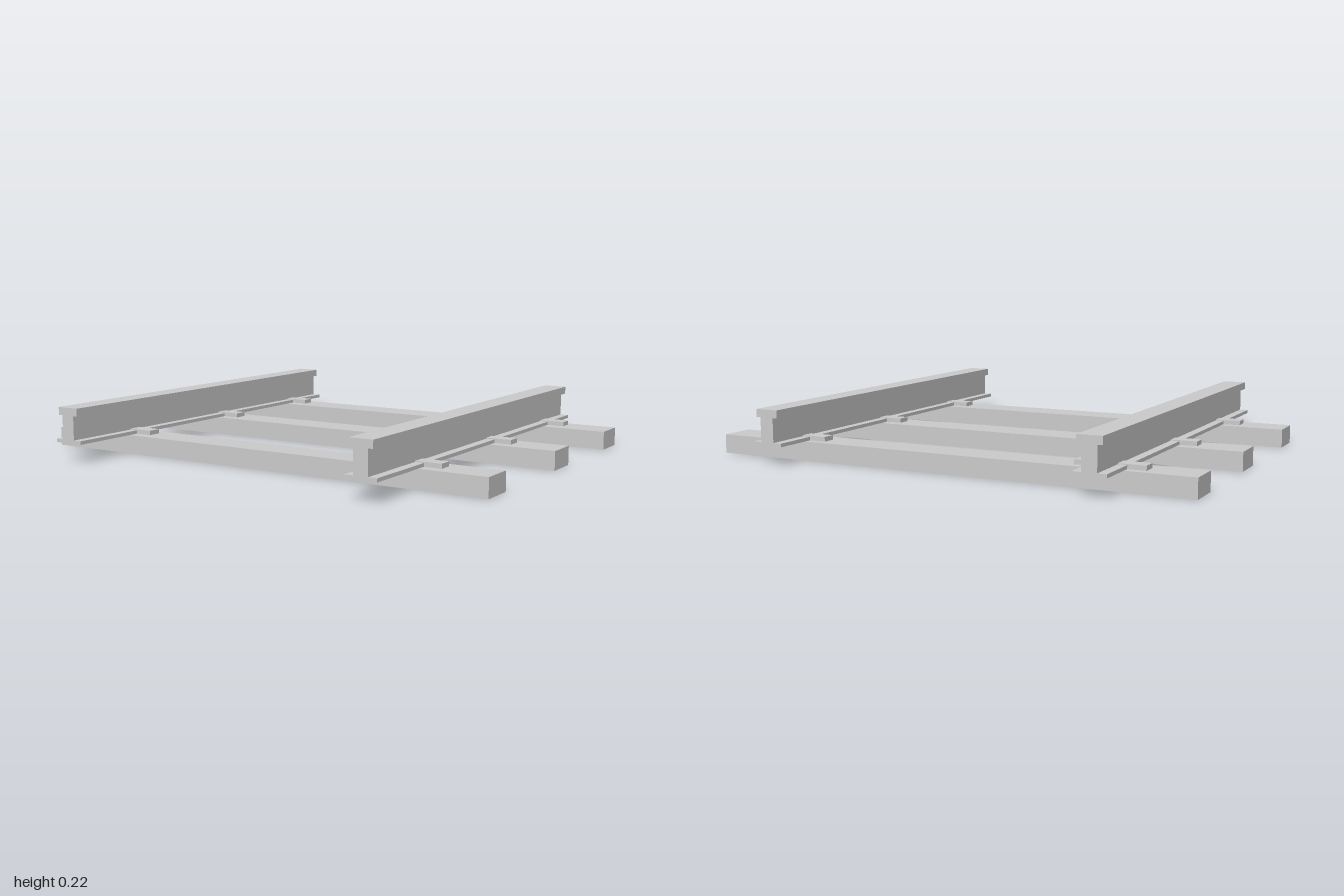
import * as THREE from 'three';

const RAIL_LENGTH = 1.7;
const BED = 0.076; // top of the sleepers, where the rails rest
const railX = { leftRail: 0.666, rightRail: -0.672 };
const sleeperZ = [-0.63, -0.09, 0.5];
const clipZ = [-0.64, -0.09, 0.498];

const steel = new THREE.MeshStandardMaterial({ color: 0xcccccc, flatShading: true });
const shell = new THREE.MeshStandardMaterial({ color: 0xcccccc, flatShading: true, side: THREE.DoubleSide });

function addMesh(parent, name, geometry, material, x, y, z) {
  const mesh = new THREE.Mesh(geometry, material);
  mesh.name = name;
  mesh.position.set(x, y, z);
  parent.add(mesh);
}

// I-shaped rail section: wide foot, thin web, heavy head
function railGeometry() {
  const half = [
    [0.064, BED], [0.064, 0.09], [0.029, 0.09],
    [0.029, 0.186], [0.048, 0.186], [0.048, 0.217],
  ];
  const mirrored = half.map(([x, y]) => [-x, y]).reverse();
  const shape = new THREE.Shape([...half, ...mirrored].map(([x, y]) => new THREE.Vector2(x, y)));
  return new THREE.ExtrudeGeometry(shape, { depth: RAIL_LENGTH, bevelEnabled: false })
    .translate(0, 0, -RAIL_LENGTH / 2);
}

// Hollow sleeper: a box without its underside
function sleeperGeometry() {
  const box = new THREE.BoxGeometry(2, BED, 0.14);
  const bottom = box.groups[3];
  const index = Array.from(box.index.array);
  index.splice(bottom.start, bottom.count);
  box.setIndex(index);
  box.clearGroups();
  return box;
}

export function createModel() {
  const track = new THREE.Group();
  track.name = 'trackSection';

  // Sleepers
  const sleeper = sleeperGeometry();
  sleeperZ.forEach((z, i) => addMesh(track, `sleeper${i + 1}`, sleeper, shell, 0, BED / 2, z));

  // Rails, each with one clip plate per sleeper
  const rail = railGeometry();
  const clip = new THREE.BoxGeometry(0.27, 0.018, 0.055);
  for (const [name, x] of Object.entries(railX)) {
    addMesh(track, name, rail, steel, x, 0, 0);
    clipZ.forEach((z, i) => addMesh(track, `${name}Clip${i + 1}`, clip, steel, x, BED + 0.009, z));
  }
  return track;
}
